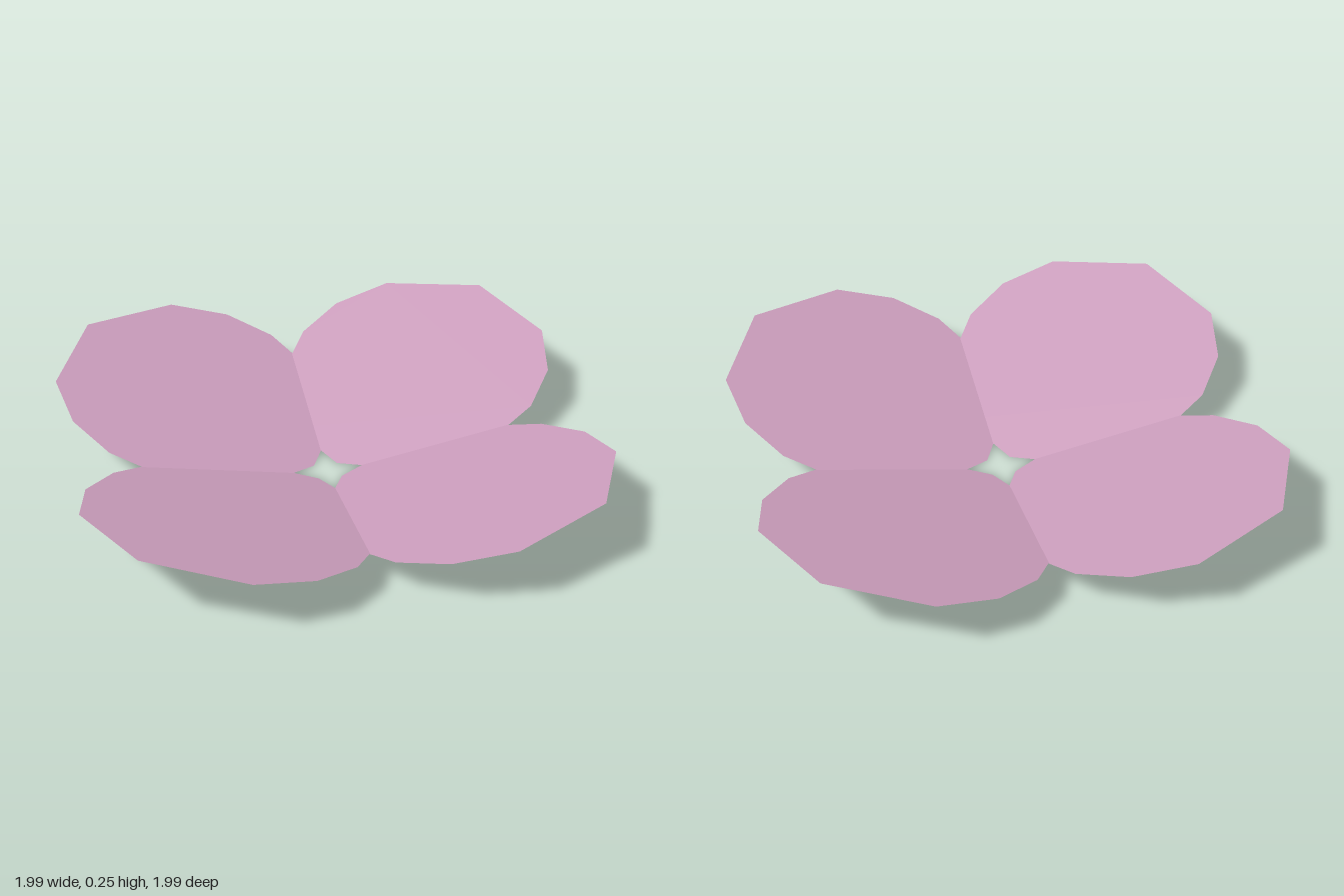
import * as THREE from 'three';

// Half outline of a petal: [distance from base, half width]
const HALF = [[0.075, 0.235], [0.25, 0.41], [0.497, 0.469], [0.672, 0.439], [0.838, 0.325]];
const LENGTH = 0.96;

function petalGeometry() {
  const outline = [
    [0, 0],
    ...HALF.map(([a, w]) => [a, w]),
    [LENGTH, 0],
    ...HALF.map(([a, w]) => [a, -w]).reverse(),
  ];
  const shape = new THREE.Shape(outline.map(([a, w]) => new THREE.Vector2(w, -a)));
  const geo = new THREE.ShapeGeometry(shape);

  // Swing the flat petal slightly sideways and lay it on its tilted plane
  const pos = geo.attributes.position;
  for (let i = 0; i < pos.count; i++) {
    const w = pos.getX(i);
    const a = -pos.getY(i);
    const x = 0.01 + 0.18 * a + 0.98 * w;
    const z = 0.055 + 0.98 * a - 0.18 * w;
    pos.setXYZ(i, x, 0.257 * z + 0.048 * x - 0.015, z);
  }
  geo.computeVertexNormals();
  return geo;
}

export function createModel() {
  const flower = new THREE.Group();
  flower.name = 'flower';
  const material = new THREE.MeshStandardMaterial({ color: 0xcc9ebd, side: THREE.DoubleSide });
  const geometry = petalGeometry();

  // Four petals crossing each other around the open centre
  ['frontPetal', 'leftPetal', 'backPetal', 'rightPetal'].forEach((name, i) => {
    const petal = new THREE.Mesh(geometry, material);
    petal.name = name;
    petal.rotation.y = (i * Math.PI) / 2;
    flower.add(petal);
  });
  return flower;
}
